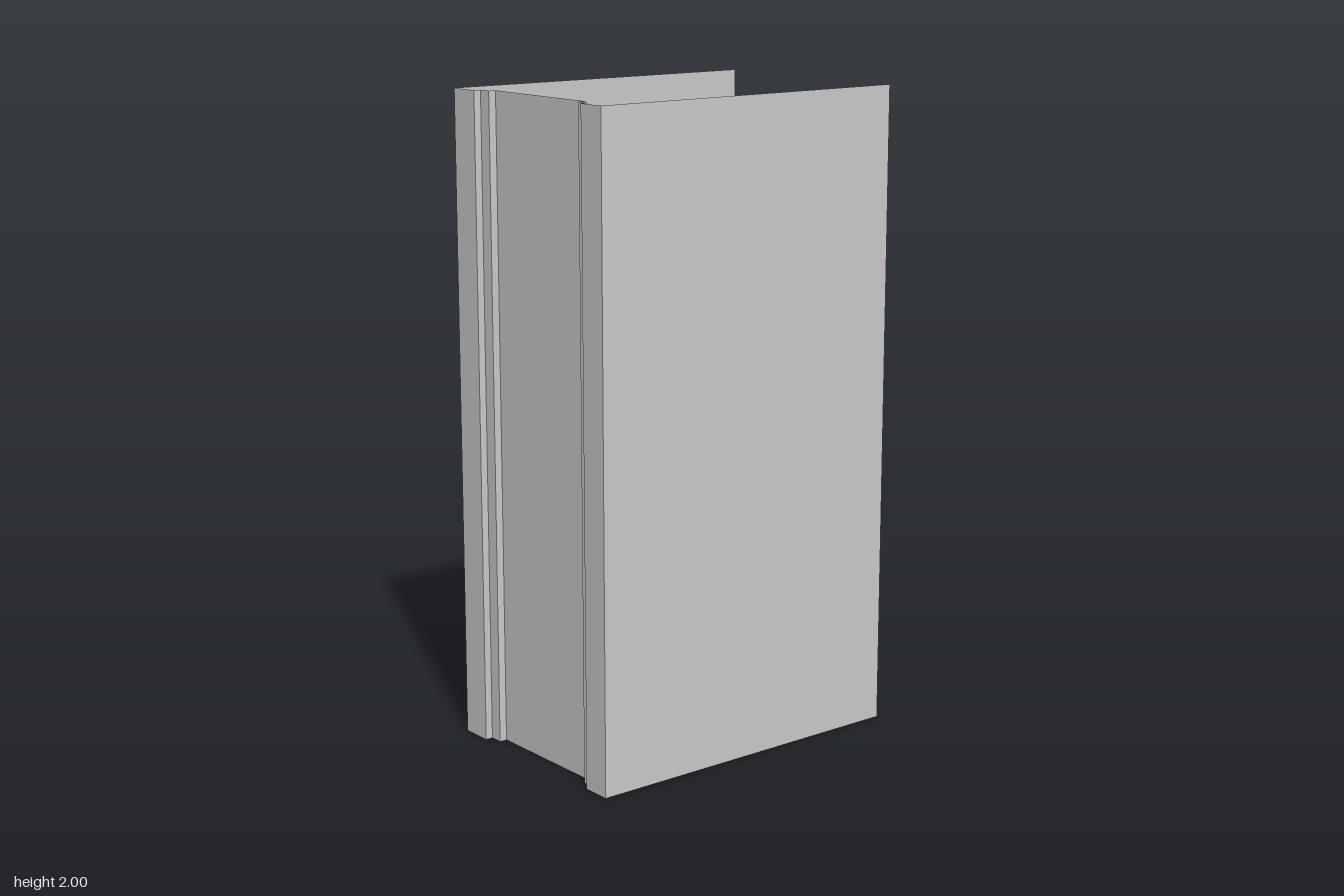
import * as THREE from 'three';

const HEIGHT = 2;
const material = new THREE.MeshStandardMaterial({ color: 0xcccccc, flatShading: true, side: THREE.DoubleSide });

// Upright flat sheet standing on the plan line from (x0, z0) to (x1, z1)
function sheet(name, [x0, z0], [x1, z1]) {
  const geometry = new THREE.PlaneGeometry(Math.hypot(x1 - x0, z1 - z0), HEIGHT);
  const mesh = new THREE.Mesh(geometry, material);
  mesh.name = name;
  mesh.position.set((x0 + x1) / 2, HEIGHT / 2, (z0 + z1) / 2);
  mesh.rotation.y = -Math.atan2(z1 - z0, x1 - x0);
  return mesh;
}

export function createModel() {
  const group = new THREE.Group();
  group.name = 'channelProfile';

  // Plan outline, from the back of the right wall round the stepped front to the left wall
  const front = 0.542, step = 0.519, recess = 0.495, back = -0.542;
  const outline = [
    [-0.357, back], [-0.357, front], [-0.254, front], [-0.254, step], [-0.212, step], [-0.212, recess],
    [0.223, recess], [0.223, step], [0.265, step], [0.265, front], [0.357, front], [0.357, back],
  ];
  const names = [
    'rightWall', 'rightFrontStrip', 'rightOuterReturn', 'rightStep', 'rightInnerReturn', 'frontPanel',
    'leftInnerReturn', 'leftStep', 'leftOuterReturn', 'leftFrontStrip', 'leftWall',
  ];
  names.forEach((name, i) => group.add(sheet(name, outline[i], outline[i + 1])));
  return group;
}
